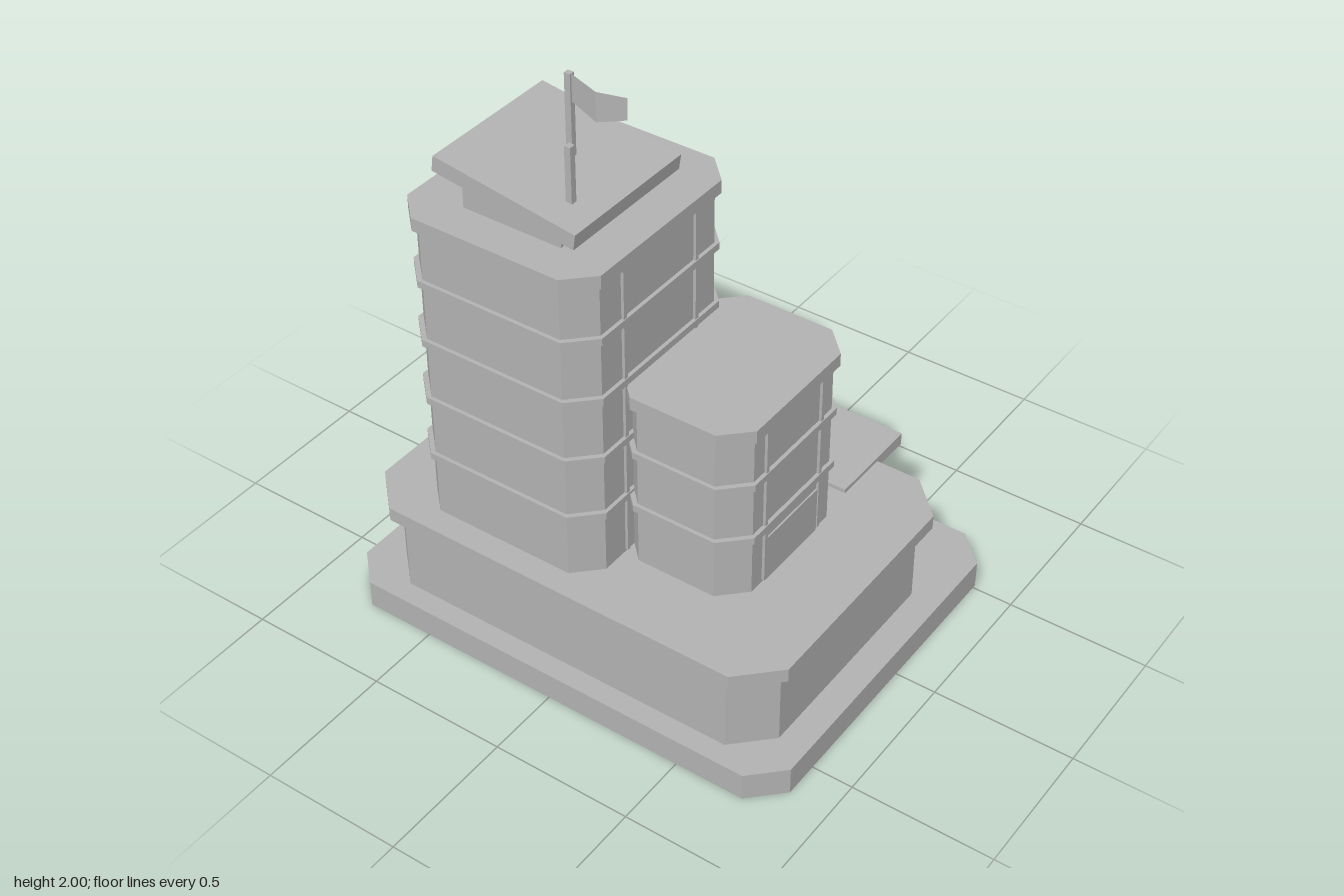
import * as THREE from 'three';

const grey = new THREE.MeshStandardMaterial({ color: 0xb2b2b2, side: THREE.DoubleSide, flatShading: true });
grey.name = 'plain grey';

// Rectangle with cut corners on the ground plane
function outline(Type, x0, x1, z0, z1, c) {
  return new Type([
    [x0 + c, z0], [x1 - c, z0], [x1, z0 + c], [x1, z1 - c],
    [x1 - c, z1], [x0 + c, z1], [x0, z1 - c], [x0, z0 + c],
  ].map(([x, z]) => new THREE.Vector2(x, -z)));
}

export function createModel() {
  const model = new THREE.Group();
  model.name = 'officeBuilding';

  function add(name, geometry, parent = model) {
    const mesh = new THREE.Mesh(geometry, grey);
    mesh.name = name;
    parent.add(mesh);
    return mesh;
  }
  function box(name, x0, x1, y0, y1, z0, z1, parent) {
    const g = new THREE.BoxGeometry(x1 - x0, y1 - y0, z1 - z0);
    g.translate((x0 + x1) / 2, (y0 + y1) / 2, (z0 + z1) / 2);
    return add(name, g, parent);
  }
  function raise(shape, y0, y1) {
    const g = new THREE.ExtrudeGeometry(shape, { depth: y1 - y0, bevelEnabled: false });
    return g.rotateX(-Math.PI / 2).translate(0, y0, 0);
  }
  function block(name, [x0, x1, z0, z1], c, y0, y1, parent) {
    return add(name, raise(outline(THREE.Shape, x0, x1, z0, z1, c), y0, y1), parent);
  }
  const grow = ([x0, x1, z0, z1], d) => [x0 - d, x1 + d, z0 - d, z1 + d];

  // Hollow base: thin rim and a top plate, open underneath
  const rim = outline(THREE.Shape, -0.855, 0.855, -0.62, 0.735, 0.107);
  rim.holes.push(outline(THREE.Path, -0.847, 0.847, -0.612, 0.727, 0.104));
  add('baseRim', raise(rim, 0, 0.092));
  block('baseTop', [-0.855, 0.855, -0.62, 0.735], 0.107, 0.092, 0.1);

  // Podium and its overhanging roof
  block('podium', [-0.757, 0.752, -0.38, 0.66], 0.122, 0.1, 0.39);
  block('podiumRoof', [-0.798, 0.794, -0.42, 0.695], 0.132, 0.39, 0.44);

  // Towers with floor bands, roof slab and mullions on the left face
  function tower(name, foot, top, bands, mullions) {
    const g = new THREE.Group();
    g.name = name;
    model.add(g);
    block('walls', foot, 0.085, 0.44, top, g);
    for (const y of bands) block('floorBand', grow(foot, 0.013), 0.088, y, y + 0.025, g);
    block('roofSlab', grow(foot, 0.016), 0.088, top, top + 0.047, g);
    const x = foot[1];
    for (const z of mullions) box('mullion', x, x + 0.01, 0.45, top, z - 0.007, z + 0.007, g);
    return g;
  }
  tower('tallTower', [-0.61, 0.081, -0.148, 0.606], 1.54, [0.66, 0.885, 1.11, 1.333], [0.412, 0.043]);
  const low = tower('lowTower', [0.055, 0.512, -0.174, 0.43], 1.053, [0.65, 0.862], [0.282, -0.022]);
  box('terraceDoor', 0.512, 0.518, 0.44, 0.61, -0.015, 0.275, low);

  // Rooftop room under a tilted slab
  const room = new THREE.Shape([[-0.445, 1.585], [-0.08, 1.585], [-0.08, 1.64], [-0.445, 1.69]]
    .map(p => new THREE.Vector2(...p)));
  add('roofRoom', new THREE.ExtrudeGeometry(room, { depth: 0.445, bevelEnabled: false })).position.z = 0.045;
  const slab = add('tiltedRoof', new THREE.BoxGeometry(0.528, 0.055, 0.525));
  slab.position.set(-0.264, 1.694, 0.263);
  slab.rotation.z = -0.145;

  // Poles and waving flag
  box('flagPole', -0.245, -0.223, 1.69, 2, 0.222, 0.242);
  box('mast', -0.112, -0.09, 1.665, 1.89, 0.398, 0.42);
  const flag = add('flag', new THREE.PlaneGeometry(1, 1, 2, 1));
  const waves = [[-0.223, 2, 1.905, 0.235], [-0.12, 1.985, 1.882, 0.256], [-0.015, 1.995, 1.92, 0.244]];
  const p = flag.geometry.attributes.position;
  waves.forEach(([x, top, bottom, z], i) => {
    p.setXYZ(i, x, top, z);
    p.setXYZ(i + 3, x, bottom, z);
  });
  flag.geometry.computeVertexNormals();

  // Rear entrance: canopy, columns, porch, doors and steps
  const entrance = new THREE.Group();
  entrance.name = 'entrance';
  model.add(entrance);
  box('canopy', -0.235, 0.5, 0.41, 0.455, -0.575, -0.22, entrance);
  box('porch', -0.06, 0.32, 0.1, 0.41, -0.455, -0.37, entrance);
  for (const side of [-1, 1]) {
    const at = d => 0.13 + side * d;
    const post = (name, d, w, y0, y1, z0, z1) =>
      box(name, at(d) - w / 2, at(d) + w / 2, y0, y1, z0, z1, entrance);
    post('column', 0.3, 0.045, 0.1, 0.41, -0.525, -0.48);
    post('doorPost', 0.13, 0.025, 0.1, 0.38, -0.48, -0.455);
    post('doorLeaf', 0.059, 0.108, 0.1, 0.355, -0.463, -0.455);
  }
  box('doorLintel', -0.013, 0.273, 0.36, 0.385, -0.48, -0.455, entrance);
  box('doorHandle', 0.035, 0.055, 0.215, 0.245, -0.478, -0.462, entrance);
  box('lowerStep', -0.225, 0.5, 0, 0.035, -0.74, -0.615, entrance);
  box('upperStep', -0.212, 0.49, 0.035, 0.068, -0.67, -0.615, entrance);

  // Slim windows on the rear wall
  for (const x of [-0.53, -0.315, 0.58]) box('slimWindow', x - 0.009, x + 0.009, 0.2, 0.33, -0.389, -0.38);

  // Planter with a soil bed and small round plants
  const planter = new THREE.Group();
  planter.name = 'planter';
  model.add(planter);
  box('soil', -0.645, -0.275, 0.1, 0.122, -0.53, -0.44, planter);
  for (const z of [-0.54, -0.442]) box('planterSide', -0.655, -0.265, 0.1, 0.135, z, z + 0.012, planter);
  for (const x of [-0.655, -0.295]) box('planterEnd', x, x + 0.03, 0.1, 0.135, -0.535, -0.435, planter);
  [[-0.607, -0.47], [-0.535, -0.49], [-0.46, -0.495], [-0.388, -0.472], [-0.315, -0.487]].forEach(([x, z], i) => {
    const plant = add('plant', new THREE.IcosahedronGeometry(i % 2 ? 0.024 : 0.019), planter);
    plant.position.set(x, 0.135, z);
    plant.rotation.y = i;
  });

  return model;
}
